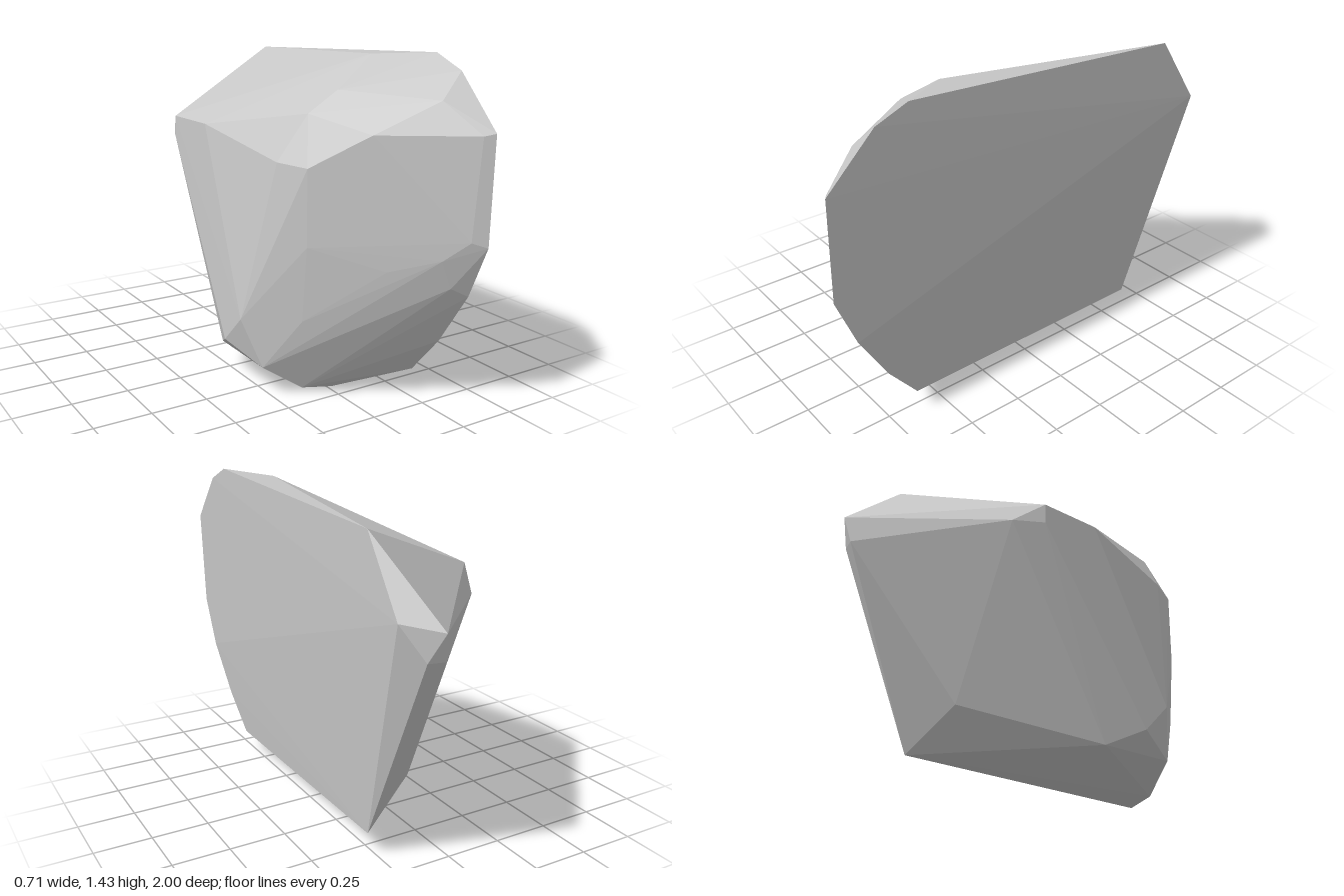
import * as THREE from 'three';
import { ConvexGeometry } from 'three/addons/geometries/ConvexGeometry.js';

// Corner points [x, y, z] of a faceted half boulder, grouped by region
const splitFace = [ // outline of the big flat side
  [0.34, 1.16, 1.0], [0.33, 0.72, 1.0], [0.325, 0.5, 0.91], [0.307, 0.27, 0.77], [0.29, 0.1, 0.63],
  [0.29, 0.11, -0.59], [0.352, 1.08, -0.89], [0.35, 1.375, -0.68], [0.345, 1.435, 0.645], [0.345, 1.375, 0.79],
];
const backTip = [
  [0.22, 1.055, -1.0], [0.2, 0.94, -0.97], [0.27, 0.94, -0.955], [0.05, 0.28, -0.51],
];
const topSlope = [
  [0.2, 1.42, 0.41], [0.0, 1.29, 0.46], [-0.12, 1.2, 0.43], [-0.32, 1.11, -0.07],
  [-0.325, 1.11, -0.35], [-0.27, 1.01, -0.48], [-0.328, 1.02, -0.35],
];
const frontBulge = [
  [0.23, 1.27, 0.82], [0.3, 1.15, 0.975], [0.0, 1.14, 0.695], [-0.18, 1.0, 0.52], [-0.24, 1.01, 0.39],
  [0.275, 0.74, 0.965], [0.2, 0.66, 0.89], [0.05, 0.6, 0.74], [-0.18, 0.68, 0.52], [0.25, 0.54, 0.89],
  [-0.18, 0.36, 0.49],
];
const underside = [
  [-0.355, 0.34, 0.29], [-0.36, 0.21, 0.16], [-0.285, 0.13, 0.35], [-0.285, 0.13, 0.0],
  [-0.12, 0.02, 0.4], [0.02, 0, 0.42],
];

export function createModel() {
  const group = new THREE.Group();
  group.name = 'boulder';

  const stone = new THREE.MeshStandardMaterial({ color: 0xc7c7c7 });
  stone.name = 'grey stone';

  // The convex skin over all corners gives flat facets
  const corners = [...splitFace, ...backTip, ...topSlope, ...frontBulge, ...underside]
    .map((p) => new THREE.Vector3(...p));
  const rock = new THREE.Mesh(new ConvexGeometry(corners), stone);
  rock.name = 'rock';
  group.add(rock);
  return group;
}
